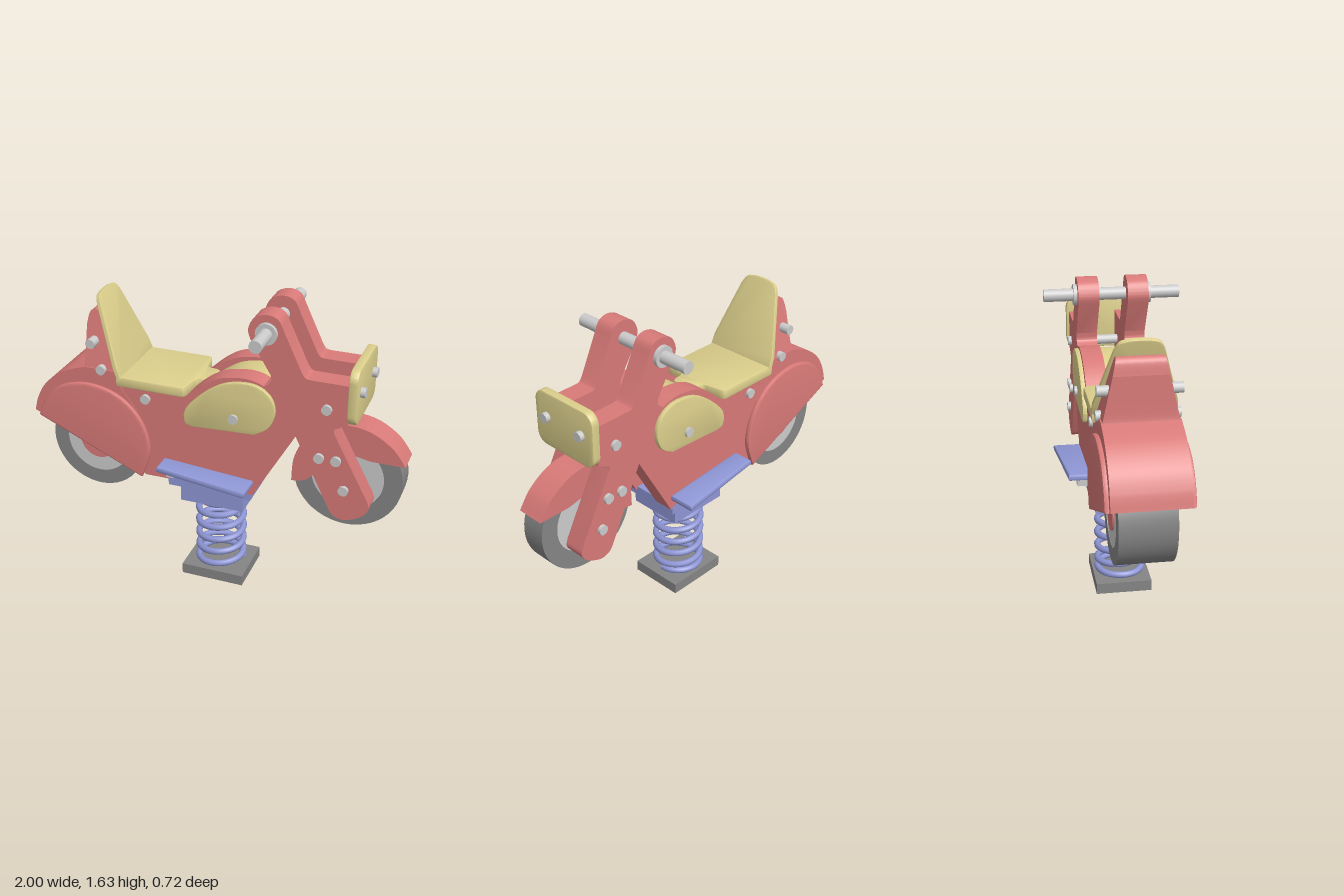
import * as THREE from 'three';
import { toCreasedNormals } from 'three/addons/utils/BufferGeometryUtils.js';

const mat = (color) => new THREE.MeshStandardMaterial({ color });
const RED = mat(0xd87a78), YELLOW = mat(0xdccf8c), BLUE = mat(0x8f97d6);
const METAL = mat(0xcccccc), RUBBER = mat(0x858585);

// Outline: plain [x, y] corners; a nested list of points is a smooth curve from the last corner.
function outline(parts) {
  const s = new THREE.Shape();
  parts.forEach((p, i) => {
    if (i === 0) s.moveTo(p[0], p[1]);
    else if (Array.isArray(p[0])) s.splineThru(p.map(([x, y]) => new THREE.Vector2(x, y)));
    else s.lineTo(p[0], p[1]);
  });
  return s;
}

// Extrusion running from depth z0 to z1, with optional rounded edges.
function slab(shape, z0, z1, bevel = 0) {
  const g = new THREE.ExtrudeGeometry(shape, {
    depth: z1 - z0 - 2 * bevel, curveSegments: 8, bevelEnabled: bevel > 0,
    bevelThickness: bevel, bevelSize: bevel, bevelOffset: -bevel, bevelSegments: 2,
  });
  g.translate(0, 0, z0 + bevel);
  return toCreasedNormals(g, 0.5);
}

// Cylinder lying along z.
function rod(r, z0, z1, x, y, sides = 24) {
  return new THREE.CylinderGeometry(r, r, z1 - z0, sides).rotateX(Math.PI / 2).translate(x, y, (z0 + z1) / 2);
}

function roundedRect(w, h, r) {
  const s = new THREE.Shape();
  s.absarc(w - r, h - r, r, 0, Math.PI / 2);
  s.absarc(r - w, h - r, r, Math.PI / 2, Math.PI);
  s.absarc(r - w, r - h, r, Math.PI, Math.PI * 1.5);
  s.absarc(w - r, r - h, r, Math.PI * 1.5, Math.PI * 2);
  return s;
}

export function createModel() {
  const model = new THREE.Group();
  const add = (name, geo, material) => {
    const m = new THREE.Mesh(geo, material);
    m.name = name;
    model.add(m);
    return m;
  };
  const box = (name, w, h, d, x, y, z, material) =>
    add(name, new THREE.BoxGeometry(w, h, d).translate(x, y, z), material);
  const pair = (name, shape, z0, z1, bevel, material) => {
    add(name + 'Left', slab(shape, z0, z1, bevel), material);
    add(name + 'Right', slab(shape, -z1, -z0, bevel), material);
  };

  // Ground plate, spring and mounting block
  box('groundPlate', 0.35, 0.06, 0.3, 0, 0.03, 0, RUBBER);
  const coil = [];
  for (let i = 0; i <= 160; i++) {
    const t = i / 160, a = t * Math.PI * 2 * 6;
    const y = 0.078 + 0.395 * THREE.MathUtils.clamp((t - 0.1) / 0.84, 0, 1);
    coil.push(new THREE.Vector3(0.123 * Math.cos(a), y, -0.123 * Math.sin(a)));
  }
  add('spring', new THREE.TubeGeometry(new THREE.CatmullRomCurve3(coil), 320, 0.018, 8), BLUE);
  box('mountBlock', 0.35, 0.11, 0.3, 0, 0.535, 0, BLUE);
  box('mountPlate', 0.46, 0.05, 0.37, 0, 0.61, 0, BLUE);

  // Twin side plates: handle post, frame and fork in one outline
  const frame = outline([
    [0.215, 1.5], [0.325, 1.32], [[0.325, 1.28], [0.29, 1.257]],
    [[0.24, 1.275], [0.17, 1.28], [0.06, 1.26], [-0.03, 1.21], [-0.12, 1.13]],
    [-0.6, 1.12], [-0.6, 0.75], [-0.36, 0.62], [0.24, 0.62], [0.46, 1.01],
    [0.635, 0.65], [[0.67, 0.595], [0.73, 0.58], [0.81, 0.615], [0.85, 0.665], [0.842, 0.71]],
    [0.655, 1.06], [0.65, 1.085], [0.72, 1.12], [0.72, 1.33], [0.53, 1.33],
    [[0.5, 1.335], [0.48, 1.36]], [0.385, 1.56],
    [[0.355, 1.615], [0.3, 1.633], [0.235, 1.61], [0.205, 1.55], [0.215, 1.5]],
  ]);
  pair('sidePlate', frame, 0.075, 0.185, 0, RED);

  // Rear fender body with side covers
  const fender = outline([
    [-1, 0.895], [[-0.975, 0.98], [-0.92, 1.07], [-0.82, 1.15], [-0.69, 1.2]],
    [-0.52, 1.2], [-0.49, 1.12], [-0.4, 1], [-0.38, 0.625],
  ]);
  add('rearFender', slab(fender, -0.188, 0.188), RED);
  const cover = outline([
    [-0.97, 0.88], [[-0.92, 0.99], [-0.82, 1.08], [-0.66, 1.115], [-0.49, 1.07],
      [-0.37, 0.95], [-0.325, 0.78], [-0.375, 0.612]],
  ]);
  pair('rearCover', cover, 0.18, 0.212, 0.012, RED);

  // Backrest support, narrowing towards its top
  const support = slab(outline([
    [-0.71, 1.17], [[-0.69, 1.22], [-0.685, 1.42]], [[-0.672, 1.48], [-0.645, 1.502], [-0.62, 1.49]],
    [-0.5, 1.17],
  ]), -1, 1);
  const sp = support.attributes.position;
  for (let i = 0; i < sp.count; i++) {
    sp.setZ(i, sp.getZ(i) * THREE.MathUtils.mapLinear(sp.getY(i), 1.17, 1.5, 0.188, 0.115));
  }
  support.computeVertexNormals();
  add('backrestSupport', support, RED);

  // Backrest and seat
  const rest = slab(outline([
    [-0.21, 0], [0.21, 0], [0.205, 0.07], [0.12, 0.38],
    [[0.095, 0.425], [0.05, 0.44], [0, 0.443], [-0.05, 0.44], [-0.095, 0.425], [-0.12, 0.38]], [-0.205, 0.07],
  ]), -0.013, 0.013, 0.006);
  add('backrest', rest.rotateY(Math.PI / 2).rotateZ(0.36).translate(-0.483, 1.165, 0), YELLOW);
  const seat = slab(outline([
    [-0.5, -0.205], [-0.15, -0.205], [[-0.125, -0.19], [-0.11, -0.11]], [[-0.1, -0.08], [-0.05, -0.072]],
    [-0.03, -0.06], [-0.03, 0.06], [-0.05, 0.072], [[-0.1, 0.08], [-0.11, 0.11]],
    [[-0.125, 0.19], [-0.15, 0.205]], [-0.5, 0.205],
  ]), 0, 0.055, 0.008);
  add('seat', seat.rotateX(Math.PI / 2).translate(0, 1.182, 0), YELLOW);

  // Tank: filler between the plates and a panel on each side
  const tank = outline([
    [-0.13, 1.03], [[-0.105, 1.09], [0, 1.19], [0.11, 1.25], [0.24, 1.262], [0.325, 1.215],
      [0.355, 1.13], [0.325, 1.04], [0.25, 0.988]],
    [-0.08, 0.972], [[-0.12, 0.985], [-0.13, 1.03]],
  ]);
  add('tankFiller', slab(tank, -0.076, 0.076), YELLOW);
  pair('tankPanel', tank, 0.18, 0.208, 0.006, YELLOW);

  // Headlight board with two bolts
  add('headlightBoard', slab(roundedRect(0.2, 0.147, 0.06), 0.715, 0.76, 0.006)
    .rotateY(Math.PI / 2).translate(0, 1.262, 0), YELLOW);
  for (const z of [-0.12, 0.12]) {
    add('headlightBolt', new THREE.CylinderGeometry(0.026, 0.026, 0.07, 16)
      .rotateZ(Math.PI / 2).translate(0.75, 1.278, z), METAL);
  }

  // Front fender
  const mudguard = outline([
    [0.413, 0.685], [[0.425, 0.83], [0.49, 0.96], [0.58, 1.03], [0.7, 1.06], [0.82, 1.04], [0.93, 0.97], [0.998, 0.88]],
    [0.82, 0.88], [0.72, 0.9], [0.62, 0.84], [0.55, 0.77], [[0.49, 0.705], [0.413, 0.685]],
  ]);
  add('frontFender', slab(mudguard, -0.075, 0.075), RED);

  // Wheels: tyre ring with a hub disc
  const wheel = (name, x, y, r, half, hubR) => {
    const tyre = new THREE.Shape().absarc(0, 0, r, 0, Math.PI * 2);
    tyre.holes.push(new THREE.Path().absarc(0, 0, hubR, 0, Math.PI * 2, true));
    const g = new THREE.ExtrudeGeometry(tyre, { depth: half * 2, bevelEnabled: false, curveSegments: 24 });
    add(name + 'Tyre', toCreasedNormals(g, 0.5).translate(x, y, -half), RUBBER);
    add(name + 'Hub', rod(hubR, -half + 0.004, half - 0.004, x, y, 48), METAL);
  };
  wheel('rearWheel', -0.657, 0.742, 0.262, 0.14, 0.18);
  wheel('frontWheel', 0.705, 0.765, 0.285, 0.066, 0.19);
  add('rearHubCap', rod(0.1, -0.145, 0.145, -0.657, 0.745, 32), RED);

  // Handlebar with collars
  add('handlebar', rod(0.033, -0.36, 0.36, 0.3, 1.54), METAL);
  for (const s of [-1, 1]) add('handlebarCollar', rod(0.055, s * 0.193 - 0.012, s * 0.193 + 0.012, 0.3, 1.54), METAL);

  // Through bolts: x, y, half length
  const bolts = [[-0.64, 1.34, 0.203], [-0.59, 1.2, 0.203], [-0.345, 1.075, 0.203], [0.14, 1.06, 0.222],
    [0.613, 1.19, 0.203], [0.585, 0.915, 0.203], [0.672, 0.915, 0.203], [0.718, 0.755, 0.203]];
  for (const [x, y, h] of bolts) add('throughBolt', rod(0.026, -h, h, x, y, 16), METAL);

  // Footrests, sloping forward, each on two brackets
  for (const s of [-1, 1]) {
    const tread = slab(outline([
      [-0.25, s * 0.187], [0.245, s * 0.187], [0.245, s * 0.33], [-0.25, s * 0.297],
    ]), 0, 0.034, 0.01);
    add('footrest', tread.rotateX(Math.PI / 2).rotateZ(-0.075).translate(0, 0.731, 0), BLUE);
    box('footrestBracket', 0.04, 0.05, 0.07, -0.197, 0.695, s * 0.215, METAL);
    box('footrestBracket', 0.04, 0.05, 0.07, 0.168, 0.667, s * 0.215, METAL);
  }
  return model;
}
